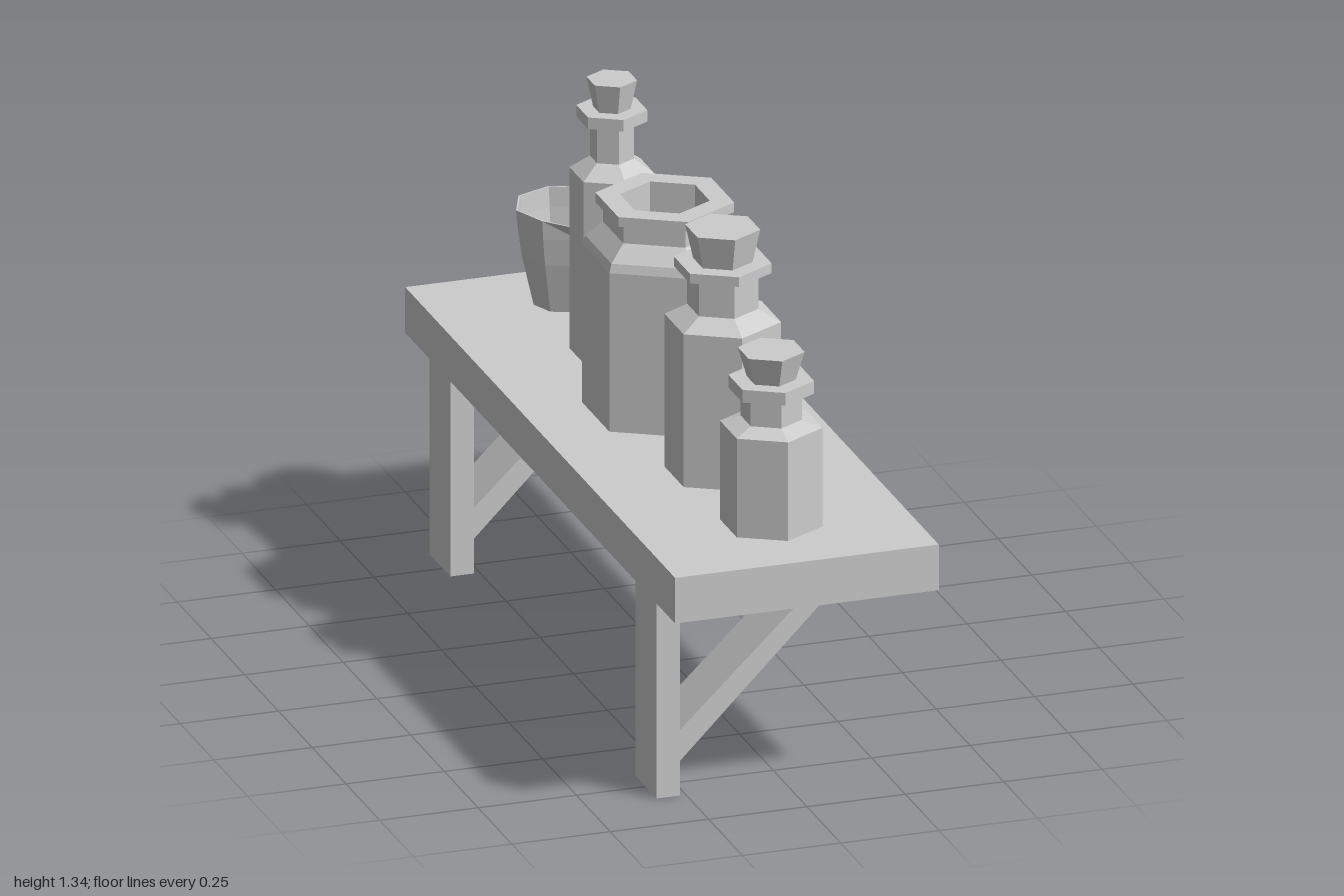
import * as THREE from 'three';

const stone = new THREE.MeshStandardMaterial({ color: 0xcccccc });
stone.name = 'plain grey';

const SHELF_TOP = 0.635;

export function createModel() {
  const model = new THREE.Group();
  model.name = 'shelfWithBottles';

  // Faceted mesh: every face gets its own normal
  const addMesh = (parent, name, geometry) => {
    const flat = geometry.index ? geometry.toNonIndexed() : geometry;
    flat.computeVertexNormals();
    const mesh = new THREE.Mesh(flat, stone);
    mesh.name = name;
    parent.add(mesh);
    return mesh;
  };
  const lathe = (profile, sides) =>
    new THREE.LatheGeometry(profile.map(([r, y]) => new THREE.Vector2(r, y)), sides);

  // Shelf board
  addMesh(model, 'shelfBoard', new THREE.BoxGeometry(0.67, 0.118, 2)).position.y = 0.576;

  // Two brackets, each a post, an arm and a diagonal brace in one outline
  const points = (list) => list.map(([x, y]) => new THREE.Vector2(x, y));
  const outline = new THREE.Shape(points([
    [-0.325, 0], [-0.265, 0], [-0.265, 0.09], [0.105, 0.463],
    [0.25, 0.463], [0.25, 0.517], [-0.325, 0.517],
  ]));
  outline.holes.push(new THREE.Path(points([[-0.265, 0.17], [-0.265, 0.463], [0.04, 0.463]])));
  for (const [name, z] of [['frontBracket', 0.755], ['backBracket', -0.772]]) {
    const bracket = new THREE.ExtrudeGeometry(outline, { depth: 0.155, bevelEnabled: false });
    addMesh(model, name, bracket).position.z = z - 0.0775;
  }

  // Six-sided bottles with a collar and a tapered stopper
  const bottles = [
    { name: 'smallBottle', z: 0.735, body: 0.126, bodyTop: 0.89, neck: 0.075, neckBase: 0.907,
      collar: 0.105, collarBase: 0.977, collarTop: 1.01, corkBase: 0.06, cork: 0.082, top: 1.083 },
    { name: 'mediumBottle', z: 0.376, body: 0.143, bodyTop: 1.03, neck: 0.087, neckBase: 1.06,
      collar: 0.12, collarBase: 1.155, collarTop: 1.18, corkBase: 0.073, cork: 0.092, top: 1.265 },
    { name: 'tallBottle', z: -0.446, body: 0.104, bodyTop: 1.103, neck: 0.054, neckBase: 1.137,
      collar: 0.087, collarBase: 1.235, collarTop: 1.265, corkBase: 0.046, cork: 0.062, top: 1.34 },
  ];
  for (const b of bottles) {
    const group = new THREE.Group();
    group.name = b.name;
    group.position.z = b.z;
    model.add(group);
    addMesh(group, 'bottleGlass', lathe([
      [0, SHELF_TOP], [b.body, SHELF_TOP], [b.body, b.bodyTop], [b.neck, b.neckBase],
      [b.neck, b.collarBase], [b.collar, b.collarBase], [b.collar, b.collarTop], [0, b.collarTop],
    ], 6));
    const height = b.top - b.collarTop;
    addMesh(group, 'stopper', new THREE.CylinderGeometry(b.cork, b.corkBase, height, 6))
      .position.y = b.collarTop + height / 2;
  }

  // Wide open jar with a rounded shoulder and a thick lip
  addMesh(model, 'openJar', lathe([
    [0, SHELF_TOP], [0.203, SHELF_TOP], [0.203, 1.045], [0.195, 1.067], [0.152, 1.107],
    [0.152, 1.155], [0.17, 1.155], [0.17, 1.18], [0.11, 1.18], [0.11, 0.66], [0, 0.66],
  ], 6)).position.z = -0.053;

  // Eight-sided thin-walled cup, its front rim corner drawn out into a spout
  const cup = lathe([
    [0, SHELF_TOP], [0.08, SHELF_TOP], [0.11, 0.765], [0.12, 0.835], [0.125, 0.885],
    [0.12, 0.885], [0.115, 0.835], [0.105, 0.765], [0.077, 0.645], [0, 0.645],
  ], 8);
  const p = cup.attributes.position;
  for (let i = 0; i < p.count; i++) {
    if (Math.abs(p.getX(i)) < 0.001 && p.getZ(i) > 0 && p.getY(i) > 0.87) {
      p.setY(i, 0.878);
      p.setZ(i, p.getZ(i) + 0.04);
    }
  }
  addMesh(model, 'spoutedCup', cup).position.z = -0.792;

  return model;
}
